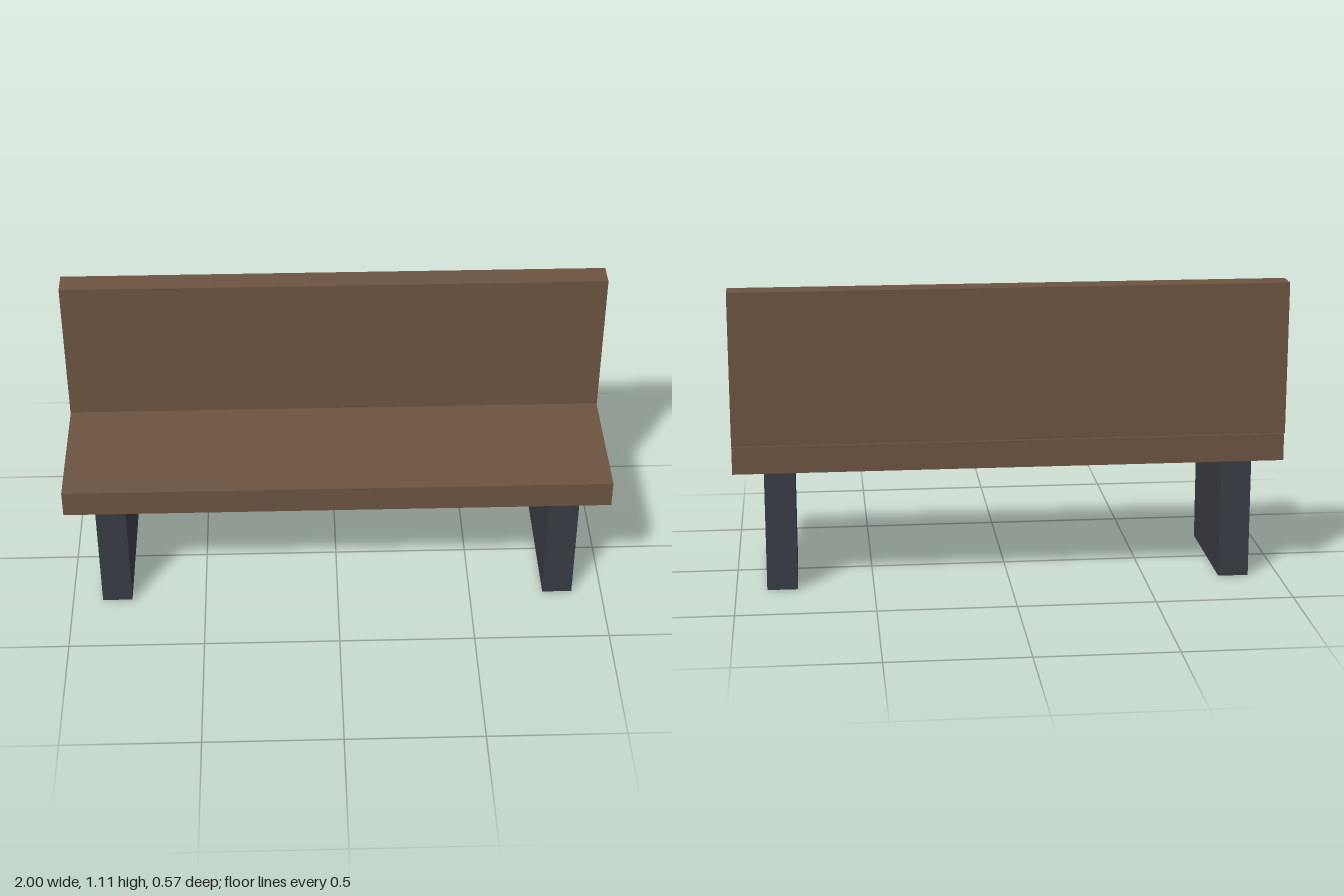
import * as THREE from 'three';

export function createModel() {
  const bench = new THREE.Group();
  bench.name = 'bench';
  const wood = new THREE.MeshStandardMaterial({ color: 0x6b5340 });
  const metal = new THREE.MeshStandardMaterial({ color: 0x383b43 });

  // Box given by its size and the centre of its underside
  function block(name, material, [w, h, d], [x, y, z]) {
    const mesh = new THREE.Mesh(new THREE.BoxGeometry(w, h, d), material);
    mesh.name = name;
    mesh.position.set(x, y + h / 2, z);
    bench.add(mesh);
  }

  // Seat and backrest planks, with narrow gaps between the parts
  block('seat', wood, [2, 0.1, 0.556], [0, 0.45, 0.006]);
  block('backrest', wood, [2, 0.556, 0.089], [0, 0.556, -0.239]);

  // Slab legs, mirrored left and right
  for (const side of [1, -1]) {
    block(side > 0 ? 'leftLeg' : 'rightLeg', metal, [0.111, 0.444, 0.489], [side * 0.833, 0, 0.006]);
  }

  return bench;
}
